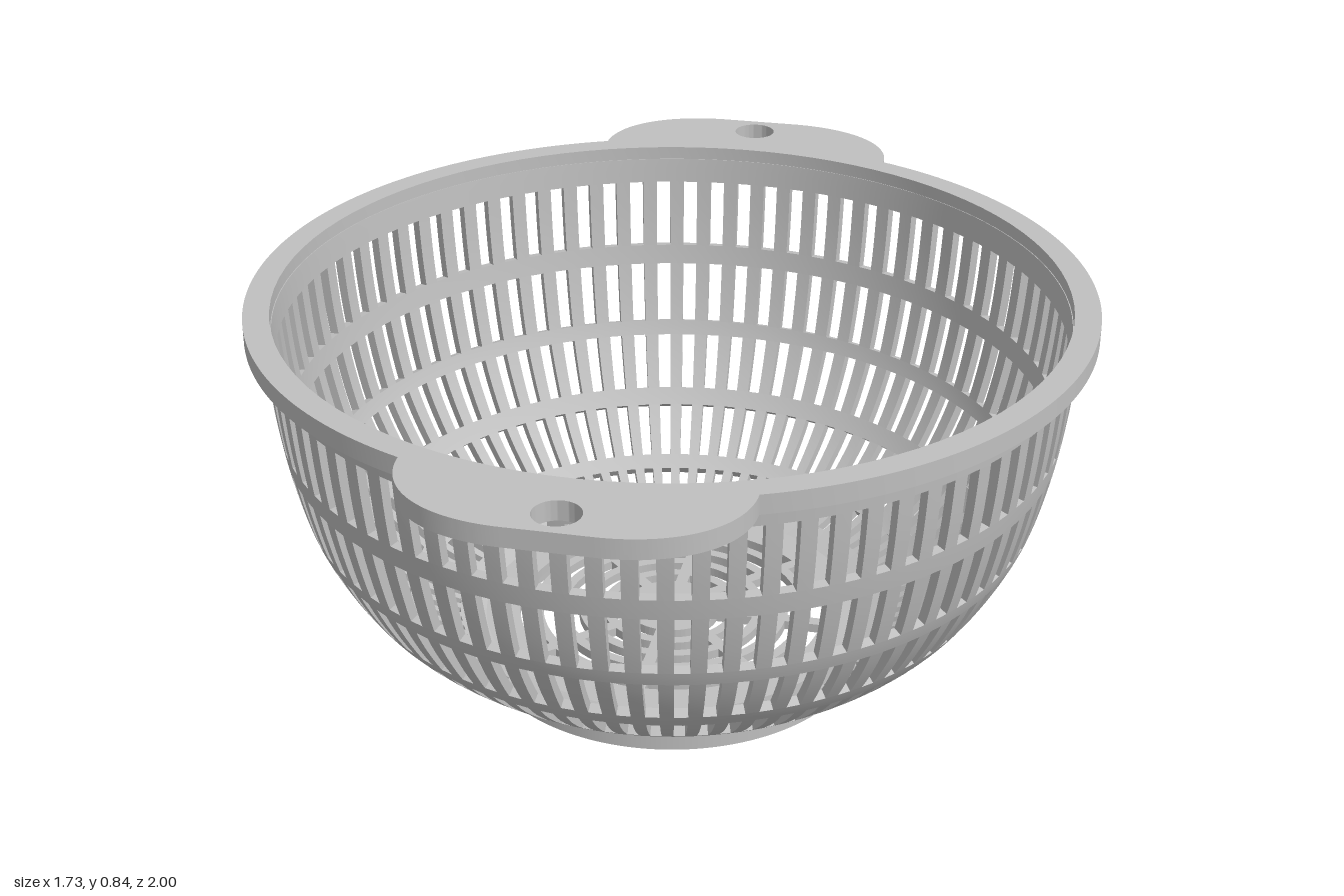
import * as THREE from 'three';
import { mergeGeometries, toCreasedNormals } from 'three/addons/utils/BufferGeometryUtils.js';

const V = (x, y) => new THREE.Vector2(x, y);
const SLOTS = 80;
const PITCH = (Math.PI * 2) / SLOTS;
const WALL = 0.02;

// Outer profile of the bowl, bottom to top
const profile = new THREE.SplineCurve([
  V(0.41, 0.07), V(0.5, 0.1), V(0.57, 0.14), V(0.67, 0.235),
  V(0.75, 0.37), V(0.79, 0.5), V(0.815, 0.65), V(0.828, 0.81),
]);

// Curve parameter at a given height
function paramAt(y) {
  let lo = 0, hi = 1;
  for (let i = 0; i < 30; i++) {
    const mid = (lo + hi) / 2;
    if (profile.getPoint(mid).y < y) lo = mid; else hi = mid;
  }
  return (lo + hi) / 2;
}

// Outer and inner wall points between two heights
function wallPoints(y0, y1, n) {
  const t0 = paramAt(y0), t1 = paramAt(y1);
  const outer = [], inner = [];
  for (let i = 0; i <= n; i++) {
    const t = t0 + ((t1 - t0) * i) / n;
    const p = profile.getPoint(t), d = profile.getTangent(t);
    outer.push(p);
    inner.push(V(p.x - d.y * WALL, p.y + d.x * WALL));
  }
  return { outer, inner };
}

// Solid band running all the way round, with sharp edges
function bandGeometry({ outer, inner }) {
  const n = outer.length - 1;
  const strips = [
    outer, [outer[n], inner[n]], [...inner].reverse(), [inner[0], outer[0]],
  ];
  return mergeGeometries(strips.map(
    (s) => new THREE.LatheGeometry(s, SLOTS * 2, PITCH * 0.25, Math.PI * 2)));
}

// Row of upright bars, leaving a slot centred on every pitch
function barsGeometry({ outer, inner }) {
  const section = [...outer, ...[...inner].reverse()];
  const side = (phi, s) => new THREE.ShapeGeometry(
    new THREE.Shape(section.map((p) => V(p.x * s, p.y))))
    .rotateY(phi - Math.PI / 2 + (s < 0 ? Math.PI : 0));
  const parts = [];
  for (let i = 0; i < SLOTS; i++) {
    const start = (i + 0.25) * PITCH, len = PITCH * 0.5;
    parts.push(
      new THREE.LatheGeometry(outer, 1, start, len),
      new THREE.LatheGeometry([...inner].reverse(), 1, start, len),
      side(start, 1), side(start + len, -1));
  }
  return mergeGeometries(parts);
}

// Flat plate with its top at the given height
function plate(shape, depth, top) {
  const g = new THREE.ExtrudeGeometry(shape, { depth, bevelEnabled: false, curveSegments: 48 });
  return toCreasedNormals(g.rotateX(Math.PI / 2).translate(0, top, 0), 0.5);
}

function circle(Type, x, y, r) {
  const c = new Type();
  c.absarc(x, y, r, 0, Math.PI * 2, false);
  return c;
}

// Rim outline with a rounded handle tab at front and back
function rimShape() {
  const R = 0.863, hx = 0.325, hz = Math.sqrt(R * R - hx * hx);
  const a = Math.atan2(hz, hx);
  const s = new THREE.Shape();
  s.absarc(0, 0, R, -a, a, false);
  s.bezierCurveTo(hx, 0.92, 0.22, 1, 0.08, 1);
  s.lineTo(-0.08, 1);
  s.bezierCurveTo(-0.22, 1, -hx, 0.92, -hx, hz);
  s.absarc(0, 0, R, Math.PI - a, Math.PI + a, false);
  s.bezierCurveTo(-hx, -0.92, -0.22, -1, -0.08, -1);
  s.lineTo(0.08, -1);
  s.bezierCurveTo(0.22, -1, hx, -0.92, hx, -hz);
  s.holes.push(circle(THREE.Path, 0, 0, 0.81));
  for (const z of [-0.935, 0.935]) s.holes.push(circle(THREE.Path, 0, z, 0.045));
  return s;
}

// Floor disc with five rings of arc slots split by eight spokes
function floorShape() {
  const s = circle(THREE.Shape, 0, 0, 0.406);
  const spoke = 0.013, step = Math.PI / 4;
  for (let ring = 0; ring < 5; ring++) {
    const r0 = 0.102 + ring * 0.05, r1 = r0 + 0.028;
    const a0 = Math.asin(spoke / r0), a1 = Math.asin(spoke / r1);
    for (let k = 0; k < 8; k++) {
      const b = k * step;
      const h = new THREE.Path();
      h.absarc(0, 0, r1, b + a1, b + step - a1, false);
      h.absarc(0, 0, r0, b + step - a0, b + a0, true);
      h.closePath();
      s.holes.push(h);
    }
  }
  return s;
}

export function createModel() {
  const group = new THREE.Group();
  group.name = 'colander';
  const grey = new THREE.MeshStandardMaterial({ color: 0xc0c0c0 });
  grey.name = 'light grey plastic';
  const add = (name, geometry) => {
    const m = new THREE.Mesh(geometry, grey);
    m.name = name;
    group.add(m);
  };

  // Bowl wall: solid bands alternating with slotted rows
  const rows = [[0.087, 0.122], [0.145, 0.235], [0.27, 0.385], [0.418, 0.555], [0.6, 0.755]];
  let y = 0.07;
  rows.forEach(([y0, y1], i) => {
    add(`wallBand${i + 1}`, bandGeometry(wallPoints(y, y0, 4)));
    add(`slottedRow${i + 1}`, barsGeometry(wallPoints(y0, y1, 5)));
    y = y1;
  });
  add('upperWallBand', bandGeometry(wallPoints(y, 0.81, 4)));

  // Rim with handles, floor and foot ring
  add('rimWithHandles', plate(rimShape(), 0.04, 0.84));
  add('slottedFloor', plate(floorShape(), WALL, 0.089));
  add('footRing', bandGeometry({
    outer: [V(0.417, 0), V(0.417, 0.072)],
    inner: [V(0.385, 0), V(0.385, 0.072)],
  }));
  return group;
}
